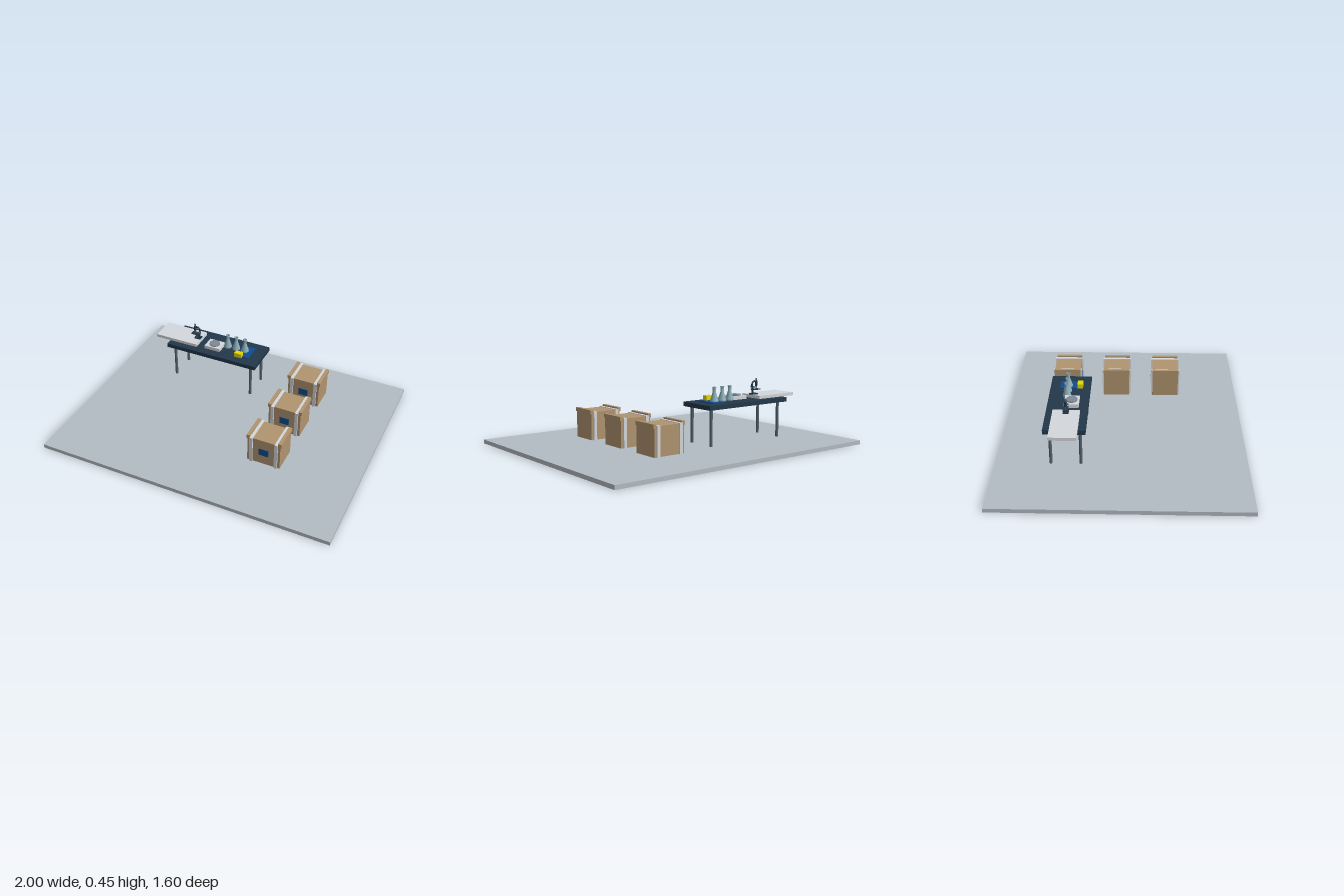
import * as THREE from 'three';

const mat = (color, side = THREE.FrontSide) => {
  const m = new THREE.MeshStandardMaterial({ color });
  m.side = side;
  return m;
};
const M = {
  floor: mat(0xb4bcc4), navy: mat(0x22384a), steel: mat(0x56636f), wood: mat(0xb0946f),
  white: mat(0xd4d8dc), pan: mat(0x7d8b98), blue: mat(0x0f4c8f), yellow: mat(0xe6d800),
  glass: mat(0x8db0ba, THREE.DoubleSide),
};

function add(parent, name, geometry, material, x, y, z) {
  const mesh = new THREE.Mesh(geometry, material);
  mesh.name = name;
  mesh.position.set(x, y, z);
  parent.add(mesh);
  return mesh;
}

// Box given by its x, y and z ranges
function box(parent, name, material, [x0, x1], [y0, y1], [z0, z1]) {
  return add(parent, name, new THREE.BoxGeometry(x1 - x0, y1 - y0, z1 - z0), material,
    (x0 + x1) / 2, (y0 + y1) / 2, (z0 + z1) / 2);
}

function cylinder(parent, name, material, r, height, x, y, z, rTop = r) {
  return add(parent, name, new THREE.CylinderGeometry(rTop, r, height, 24), material, x, y, z);
}

function group(parent, name, x = 0, y = 0, z = 0) {
  const g = new THREE.Group();
  g.name = name;
  g.position.set(x, y, z);
  parent.add(g);
  return g;
}

function buildTable(parent) {
  const table = group(parent, 'table');
  box(table, 'tableTop', M.navy, [-0.61, 0.07], [0.292, 0.321], [-0.48, -0.216]);
  for (const x of [-0.564, 0.025])
    for (const z of [-0.44, -0.252])
      cylinder(table, 'tableLeg', M.steel, 0.01, 0.24, x, 0.173, z);
}

// Conical flask, open at the lip
function buildFlask(parent, x) {
  const profile = [[0, 0], [0.026, 0], [0.028, 0.004], [0.027, 0.012], [0.011, 0.064],
    [0.011, 0.09], [0.014, 0.094], [0.014, 0.098], [0.009, 0.098], [0.009, 0.066]]
    .map(([r, y]) => new THREE.Vector2(r, y));
  add(parent, 'flask', new THREE.LatheGeometry(profile, 28), M.glass, x, 0.322, -0.361);
}

function buildMicroscope(parent) {
  const scope = group(parent, 'microscope', -0.44, 0.342, -0.348);
  box(scope, 'scopeBase', M.navy, [-0.012, 0.035], [0, 0.008], [-0.018, 0.018]);
  box(scope, 'scopePillar', M.navy, [0.016, 0.026], [0.008, 0.05], [-0.006, 0.006]);
  box(scope, 'scopeStage', M.navy, [-0.036, 0.024], [0.03, 0.036], [-0.017, 0.017]);
  // Curved arm from pillar to tube
  const arm = new THREE.CatmullRomCurve3([[0.021, 0.045], [0.026, 0.062], [0.021, 0.08],
    [0.006, 0.088], [-0.01, 0.086]].map(([x, y]) => new THREE.Vector3(x, y, 0)));
  add(scope, 'scopeArm', new THREE.TubeGeometry(arm, 20, 0.006, 10), M.navy, 0, 0, 0);
  cylinder(scope, 'scopeTube', M.navy, 0.008, 0.036, -0.012, 0.074, 0);
  cylinder(scope, 'objective', M.steel, 0.004, 0.018, -0.012, 0.048, 0, 0.006);
  cylinder(scope, 'eyepiece', M.steel, 0.006, 0.018, -0.012, 0.1, 0);
  const knob = cylinder(scope, 'focusKnob', M.steel, 0.006, 0.032, 0.021, 0.052, 0);
  knob.rotation.x = Math.PI / 2;
}

function buildBenchItems(parent) {
  const items = group(parent, 'benchItems');
  box(items, 'board', M.white, [-0.72, -0.402], [0.321, 0.342], [-0.435, -0.263]);
  buildMicroscope(items);
  box(items, 'scaleBody', M.white, [-0.343, -0.227], [0.321, 0.345], [-0.37, -0.276]);
  cylinder(items, 'scalePan', M.pan, 0.037, 0.008, -0.285, 0.349, -0.323);
  box(items, 'blueMat', M.blue, [-0.102, -0.01], [0.321, 0.327], [-0.416, -0.287]);
  box(items, 'yellowBox', M.yellow, [-0.107, -0.055], [0.326, 0.357], [-0.3, -0.264]);
  for (const x of [-0.2, -0.135, -0.068]) buildFlask(items, x);
}

function buildCrate(parent, z) {
  const crate = group(parent, 'crate', 0.399, 0.054, z);
  box(crate, 'crateBody', M.wood, [-0.112, 0.112], [0, 0.187], [-0.09, 0.09]);
  for (const s of [-1, 1]) {
    // Raised rim along each end of the lid
    add(crate, 'lidRail', new THREE.BoxGeometry(0.024, 0.026, 0.182), M.wood, s * 0.107, 0.188, 0);
    add(crate, 'topStrap', new THREE.BoxGeometry(0.021, 0.008, 0.2), M.white, s * 0.085, 0.187, 0);
    for (const t of [-1, 1])
      add(crate, 'cratePost', new THREE.BoxGeometry(0.021, 0.19, 0.012), M.white, s * 0.085, 0.094, t * 0.094);
  }
  box(crate, 'frontPanel', M.blue, [-0.033, 0.033], [0.069, 0.118], [0.088, 0.094]);
}

export function createModel() {
  const model = new THREE.Group();
  model.name = 'laboratoryScene';
  box(model, 'floor', M.floor, [-1, 1], [0, 0.027], [-0.8, 0.8]);
  buildTable(model);
  buildBenchItems(model);
  for (const z of [-0.402, -0.055, 0.291]) buildCrate(model, z);
  return model;
}
